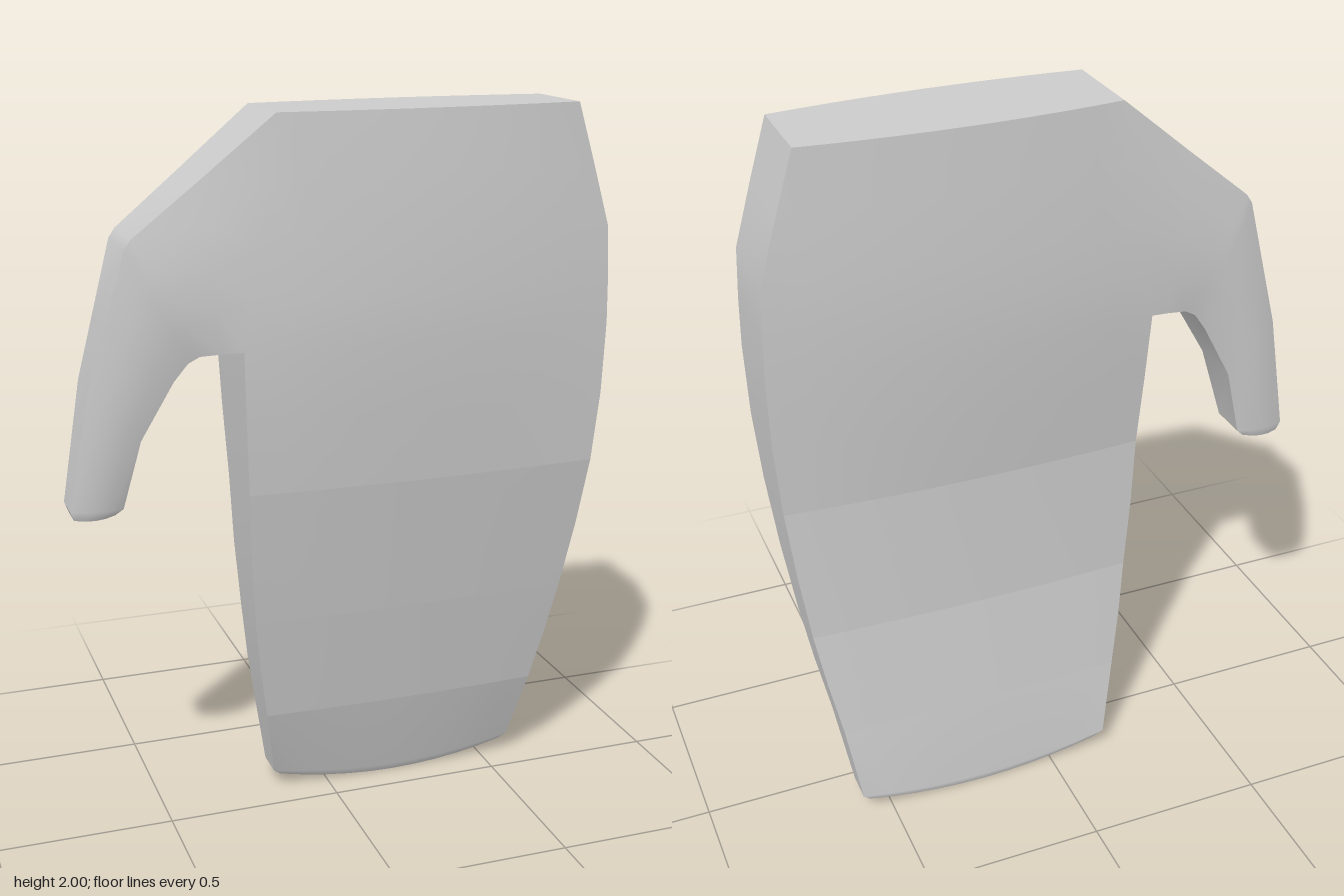
import * as THREE from 'three';
import { mergeGeometries, mergeVertices, toCreasedNormals } from 'three/addons/utils/BufferGeometryUtils.js';

const COLS = 10;

// Parabola through three values at t = 0, 0.5, 1
const arc = (a, m, b, t) => a * (1 - t) * (1 - 2 * t) + 4 * m * t * (1 - t) + b * t * (2 * t - 1);

// Cross-section from point p to point q; f and b are front/back depth at start, middle, end
function section(p, q, f, b, n, sag = 0) {
  return Array.from({ length: n + 1 }, (_, i) => {
    const t = i / n;
    return {
      x: p[0] + (q[0] - p[0]) * t,
      y: p[1] + (q[1] - p[1]) * t - sag * 4 * t * (1 - t),
      f: arc(...f, t), b: arc(...b, t),
    };
  });
}

const front = (p) => [p.x, p.y, p.f];
const back = (p) => [p.x, p.y, p.b];

function toGeometry(quads) {
  const pos = quads.flatMap(([a, b, c, d]) => [a, b, c, a, c, d]).flat();
  const g = new THREE.BufferGeometry();
  g.setAttribute('position', new THREE.Float32BufferAttribute(pos, 3));
  return g;
}

// Quads over a grid whose rows run downwards and columns to the right
function skin(grid, side) {
  const quads = [];
  for (let i = 0; i < grid.length - 1; i++) {
    for (let j = 0; j < grid[i].length - 1; j++) {
      const q = [grid[i][j], grid[i + 1][j], grid[i + 1][j + 1], grid[i][j + 1]].map(side);
      quads.push(side === front ? q : q.reverse());
    }
  }
  return quads;
}

function smooth(quads) {
  const g = mergeVertices(toGeometry(quads));
  g.computeVertexNormals();
  return g.toNonIndexed();
}

export function createModel() {
  // Hand sections from cuff to fingertips: y, left x, right x, front depths, back depths, sag
  const body = [
    [2.00, -0.21, 0.63, [0.15, 0.165, 0.135], [-0.105, -0.13, -0.105]],
    [1.84, -0.23, 0.68, [0.155, 0.177, 0.135], [-0.115, -0.138, -0.105]],
    [1.67, -0.255, 0.73, [0.16, 0.184, 0.137], [-0.122, -0.145, -0.105]],
    [1.53, -0.28, 0.737, [0.16, 0.185, 0.14], [-0.122, -0.144, -0.1]],
    [1.40, -0.305, 0.74, [0.157, 0.183, 0.14], [-0.118, -0.139, -0.095]],
    [1.20, -0.298, 0.735, [0.145, 0.163, 0.135], [-0.1, -0.122, -0.085]],
    [1.00, -0.287, 0.72, [0.123, 0.14, 0.123], [-0.085, -0.1, -0.077]],
    [0.80, -0.275, 0.70, [0.09, 0.103, 0.09], [-0.09, -0.103, -0.085]],
    [0.60, -0.256, 0.674, [0.053, 0.066, 0.053], [-0.096, -0.107, -0.094]],
    [0.44, -0.235, 0.648, [0.022, 0.033, 0.022], [-0.117, -0.127, -0.115]],
    [0.28, -0.208, 0.617, [-0.01, 0, -0.01], [-0.138, -0.147, -0.136]],
    [0.06, -0.168, 0.585, [-0.085, -0.075, -0.085], [-0.174, -0.18, -0.174], 0.035],
    [0.04, -0.145, 0.565, [-0.097, -0.09, -0.097], [-0.167, -0.17, -0.167], 0.04],
  ].map(([y, l, r, f, b, sag]) => section([l, y], [r, y], f, b, COLS, sag));

  // Thumb sections from the hand to the tip, each running from outer to inner edge
  const CROTCH = 4;
  const thumb = [
    body.slice(0, CROTCH + 1).map((row) => row[0]),
    ...[
      [[-0.40, 1.84], [-0.355, 1.395], [0.12, 0.15, 0.135], [-0.105, -0.128, -0.112]],
      [[-0.575, 1.695], [-0.41, 1.388], [0.092, 0.123, 0.113], [-0.103, -0.126, -0.108]],
      [[-0.592, 1.67], [-0.44, 1.37], [0.088, 0.117, 0.104], [-0.103, -0.125, -0.106]],
      [[-0.645, 1.47], [-0.475, 1.32], [0.063, 0.092, 0.087], [-0.1, -0.124, -0.102]],
      [[-0.69, 1.30], [-0.56, 1.16], [0.037, 0.062, 0.056], [-0.098, -0.12, -0.098]],
      [[-0.745, 0.965], [-0.605, 0.965], [0, 0.02, 0.015], [-0.095, -0.11, -0.095]],
      [[-0.735, 0.938], [-0.625, 0.945], [-0.01, 0.005, 0], [-0.09, -0.1, -0.09], 0.005],
    ].map(([p, q, f, b, sag]) => section(p, q, f, b, CROTCH, sag)),
  ];
  const thumbGrid = thumb[0].map((_, k) => thumb.map((s) => s[k]).reverse());

  // Palm and back of the hand: smooth upper part with thumb, then bands with sharp bends
  const bands = [[0, 6], [6, 8], [8, 10], [10, 12]];
  const face = (side) => mergeGeometries(bands.map(([a, b], i) => smooth([
    ...skin(body.slice(a, b + 1), side),
    ...(i === 0 ? skin(thumbGrid, side) : []),
  ])));

  // Side wall: walk once around the outline, counter-clockwise from the front
  const path = [
    ...[...body[0]].reverse(),
    ...thumb.slice(1).map((s) => s[0]),
    ...thumb.at(-1).slice(1),
    ...thumb.slice(0, -1).reverse().map((s) => s.at(-1)),
    ...body.slice(CROTCH + 1).map((row) => row[0]),
    ...body.at(-1).slice(1),
    ...body.slice(0, -1).reverse().map((row) => row.at(-1)),
  ];
  const wall = path.slice(1).map((q, i) => [front(path[i]), back(path[i]), back(q), front(q)]);

  const group = new THREE.Group();
  group.name = 'mitten';
  const material = new THREE.MeshStandardMaterial({ color: 0xcccccc });
  const add = (name, geometry) => {
    const mesh = new THREE.Mesh(geometry, material);
    mesh.name = name;
    group.add(mesh);
  };
  add('frontPanel', face(front));
  add('backPanel', face(back));
  add('sideWall', toCreasedNormals(toGeometry(wall), 0.35));
  return group;
}
